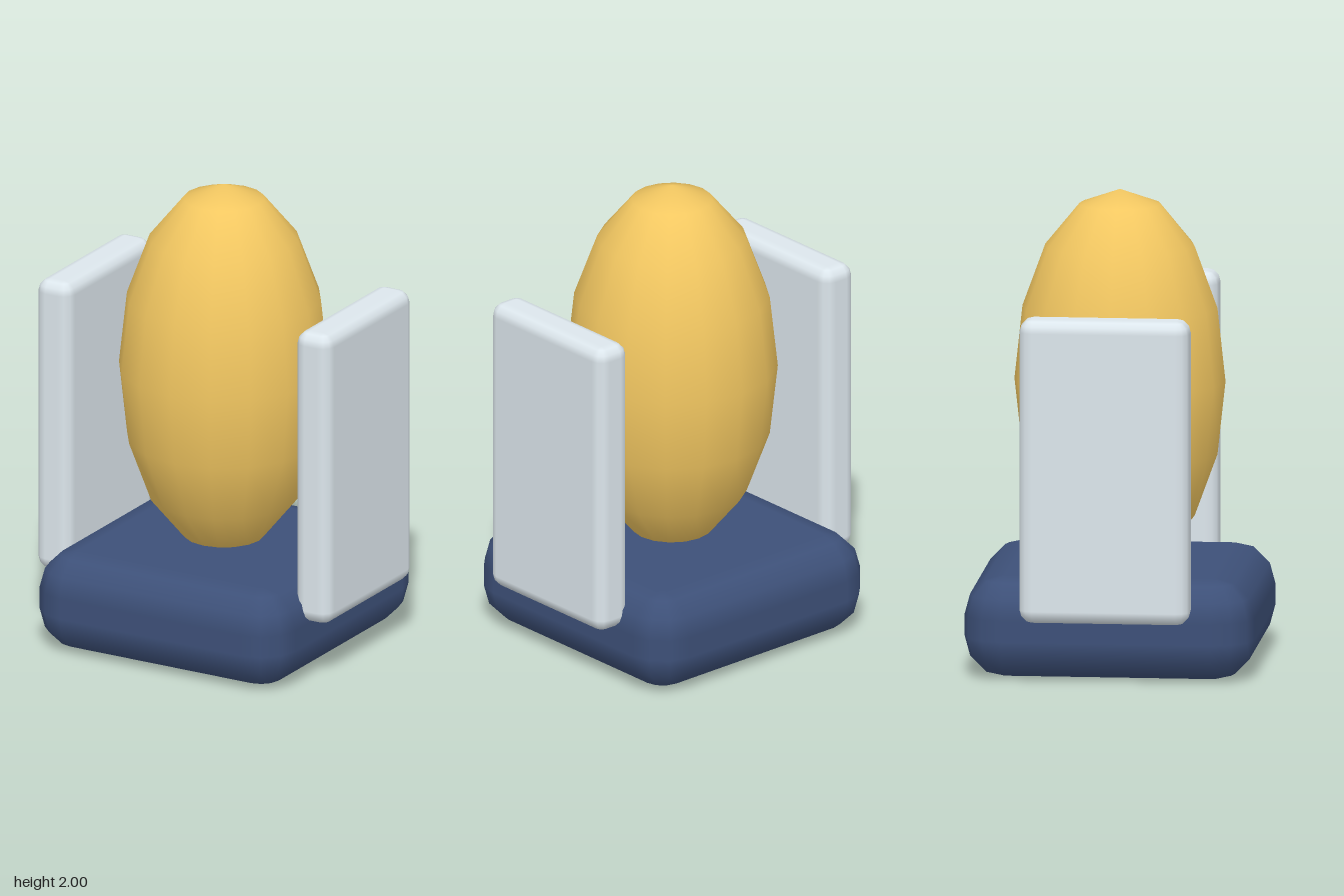
import * as THREE from 'three';

// Box with 3-step rounded edges: a sphere grid whose octants are pulled out to the box corners
function bevelBox(w, h, d, r) {
  const geo = new THREE.SphereGeometry(1, 16, 9);
  const pos = geo.attributes.position, nor = geo.attributes.normal;
  const step = Math.PI / 6;
  for (let iy = 0, i = 0; iy <= 9; iy++) {
    for (let ix = 0; ix <= 16; ix++, i++) {
      const sy = iy <= 4 ? 1 : -1;
      if (iy === 0 || iy === 9) { // centres of the top and bottom faces
        pos.setXYZ(i, 0, sy * h / 2, 0);
        nor.setXYZ(i, 0, sy, 0);
        continue;
      }
      const theta = (iy <= 4 ? iy - 1 : iy - 2) * step;
      const corner = Math.floor((ix % 16) / 4);
      const phi = corner * Math.PI / 2 + (ix % 4) * step;
      const mid = (corner + 0.5) * Math.PI / 2;
      const n = new THREE.Vector3(
        -Math.cos(phi) * Math.sin(theta), Math.cos(theta), Math.sin(phi) * Math.sin(theta));
      pos.setXYZ(i,
        -Math.sign(Math.cos(mid)) * (w / 2 - r) + n.x * r,
        sy * (h / 2 - r) + n.y * r,
        Math.sign(Math.sin(mid)) * (d / 2 - r) + n.z * r);
      nor.setXYZ(i, n.x, n.y, n.z);
    }
  }
  return geo;
}

export function createModel() {
  const model = new THREE.Group();
  const add = (name, geometry, color, x, y, z) => {
    const mesh = new THREE.Mesh(geometry, new THREE.MeshStandardMaterial({ color }));
    mesh.name = name;
    mesh.position.set(x, y, z);
    model.add(mesh);
    return mesh;
  };

  // Cushion-like base
  add('base', bevelBox(1.22, 0.43, 1.22, 0.17), 0x3d5078, 0, 0.215, 0);

  // Tall egg sunk slightly into the base
  const egg = new THREE.SphereGeometry(1, 16, 8).scale(0.444, 0.81, 0.444);
  add('egg', egg, 0xf2c761, 0, 1.19, 0);

  // Upright panels on both sides
  for (const side of [1, -1]) {
    add(side > 0 ? 'leftPanel' : 'rightPanel',
      bevelBox(0.17, 1.29, 0.715, 0.055), 0xdce6ec, side * 0.63, 0.91, 0);
  }
  return model;
}
